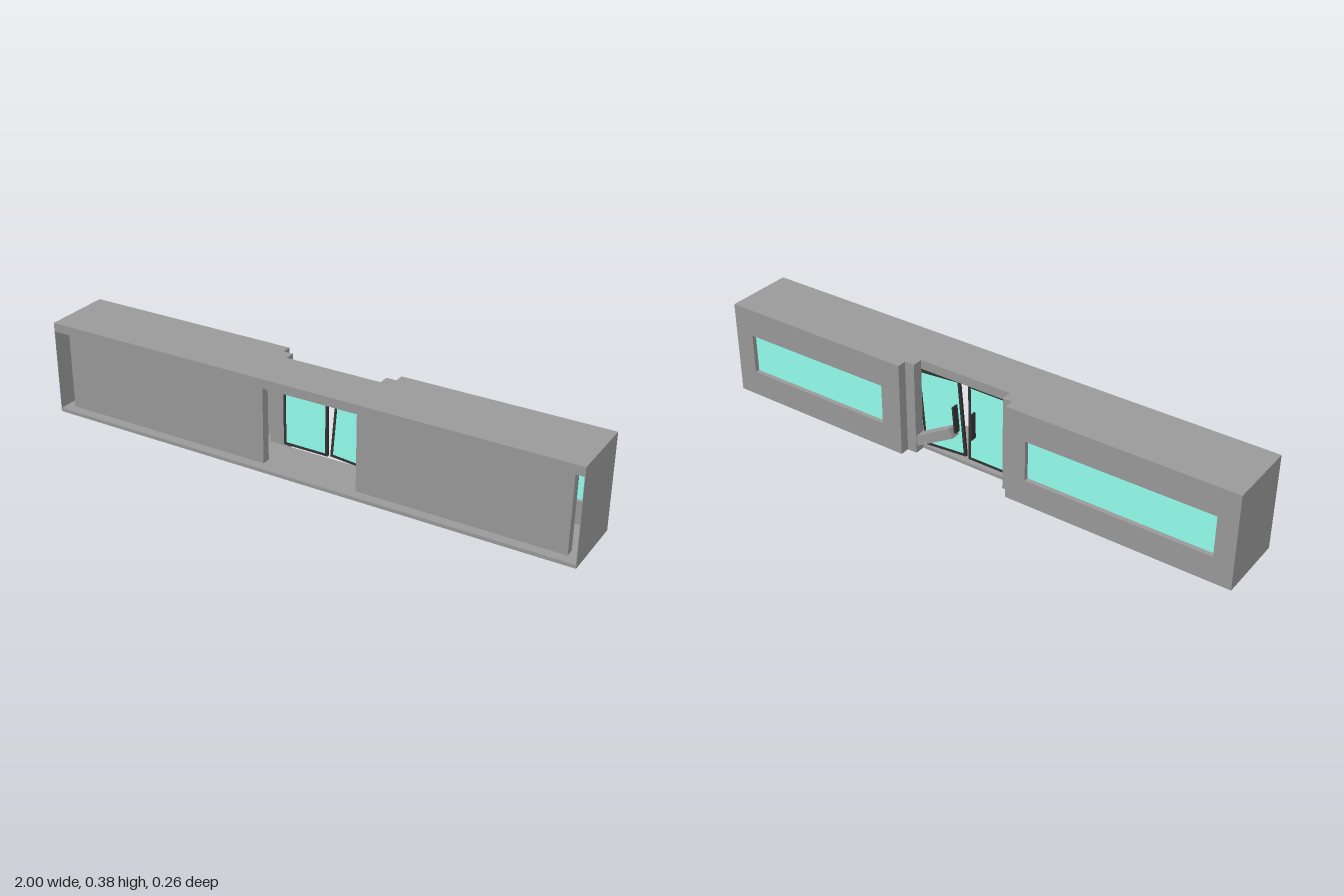
import * as THREE from 'three';

const grey = new THREE.MeshStandardMaterial({ color: 0x999999 });
const glass = new THREE.MeshStandardMaterial({ color: 0x94ffee });
const dark = new THREE.MeshStandardMaterial({ color: 0x333333 });

function add(parent, name, geometry, material = grey) {
  const mesh = new THREE.Mesh(geometry, material);
  mesh.name = name;
  parent.add(mesh);
  return mesh;
}

// Box given by its minimum and maximum on each axis
function box(parent, name, [x0, x1], [y0, y1], [z0, z1], material) {
  const mesh = add(parent, name, new THREE.BoxGeometry(x1 - x0, y1 - y0, z1 - z0), material);
  mesh.position.set((x0 + x1) / 2, (y0 + y1) / 2, (z0 + z1) / 2);
}

function rect(target, x0, x1, y0, y1) {
  target.moveTo(x0, y0);
  target.lineTo(x1, y0);
  target.lineTo(x1, y1);
  target.lineTo(x0, y1);
  target.closePath();
  return target;
}

const BACK = -0.128, FRONT = 0.128, STEP = -0.093, RECESS = -0.054;
const BOTTOM = 0.029, FLOOR = 0.042, CEILING = 0.346, TOP = 0.379;

// Horizontal slab with the stepped entrance notch in its back edge
function slab(parent, name, y0, y1) {
  const outline = new THREE.Shape([
    [-1, FRONT], [-1, BACK], [-0.175, BACK], [-0.175, STEP], [-0.139, STEP], [-0.139, RECESS],
    [0.22, RECESS], [0.22, STEP], [0.257, STEP], [0.257, BACK], [1, BACK], [1, FRONT],
  ].map(([x, z]) => new THREE.Vector2(x, z)));
  const geometry = new THREE.ExtrudeGeometry(outline, { depth: y1 - y0, bevelEnabled: false });
  geometry.rotateX(Math.PI / 2);
  add(parent, name, geometry).position.y = y1;
}

// Street wall with one long window
function facade(parent, name, x0, x1, w0, w1) {
  const group = new THREE.Group();
  group.name = name;
  const wall = rect(new THREE.Shape(), x0, x1, FLOOR, CEILING);
  wall.holes.push(rect(new THREE.Path(), w0, w1, 0.125, 0.275));
  const geometry = new THREE.ExtrudeGeometry(wall, { depth: STEP - BACK, bevelEnabled: false });
  add(group, 'windowWall', geometry).position.z = BACK;
  box(group, 'windowGlass', [w0, w1], [0.125, 0.275], [-0.111, -0.105], glass);
  parent.add(group);
}

// Glazed door with a thin dark frame and a flat pull handle on the street side
function door(parent, name, x, y, tilt, handleX) {
  const group = new THREE.Group();
  group.name = name;
  const w = 0.0875, h = 0.146, t = 0.009;
  const frame = rect(new THREE.Shape(), -w, w, -h, h);
  frame.holes.push(rect(new THREE.Path(), -w + t, w - t, -h + t, h - t));
  const geometry = new THREE.ExtrudeGeometry(frame, { depth: 0.01, bevelEnabled: false });
  add(group, 'doorFrame', geometry, dark).position.z = -0.005;
  box(group, 'doorGlass', [-w + t, w - t], [-h + t, h - t], [-0.003, 0.003], glass);
  box(group, 'doorHandle', [handleX - 0.003, handleX + 0.003], [-0.05, 0.05], [-0.028, -0.002], dark);
  group.position.set(x, y, -0.045);
  group.rotation.z = tilt;
  parent.add(group);
}

export function createModel() {
  const model = new THREE.Group();
  model.name = 'shopfront';

  slab(model, 'roof', CEILING, TOP);
  slab(model, 'floor', BOTTOM, FLOOR);

  // Thin end walls
  box(model, 'rightEndWall', [-1, -0.998], [FLOOR, CEILING], [STEP, FRONT]);
  box(model, 'leftEndWall', [0.998, 1], [FLOOR, CEILING], [STEP, FRONT]);

  facade(model, 'rightFacade', -1, -0.175, -0.93, -0.25);
  facade(model, 'leftFacade', 0.257, 1, 0.335, 0.925);

  // Stepped posts beside the entrance
  box(model, 'entrancePost', [-0.21, -0.139], [FLOOR, CEILING], [STEP, RECESS]);
  box(model, 'entrancePost', [0.22, 0.29], [FLOOR, CEILING], [STEP, RECESS]);

  // Display partitions standing free inside
  box(model, 'partition', [-0.965, -0.143], [FLOOR, CEILING], [0.06, 0.092]);
  box(model, 'partition', [0.216, 0.957], [FLOOR, CEILING], [0.06, 0.092]);

  // One upright door and one hanging askew
  door(model, 'rightDoor', -0.058, 0.201, 0, 0.062);
  door(model, 'leftDoor', 0.14, 0.198, -0.085, -0.066);

  // Beam leaning across the entrance
  const beam = add(model, 'fallenBeam', new THREE.BoxGeometry(0.29, 0.036, 0.036));
  beam.position.set(0.2, 0.0881, -0.072);
  beam.rotation.z = -Math.PI / 6;

  return model;
}
